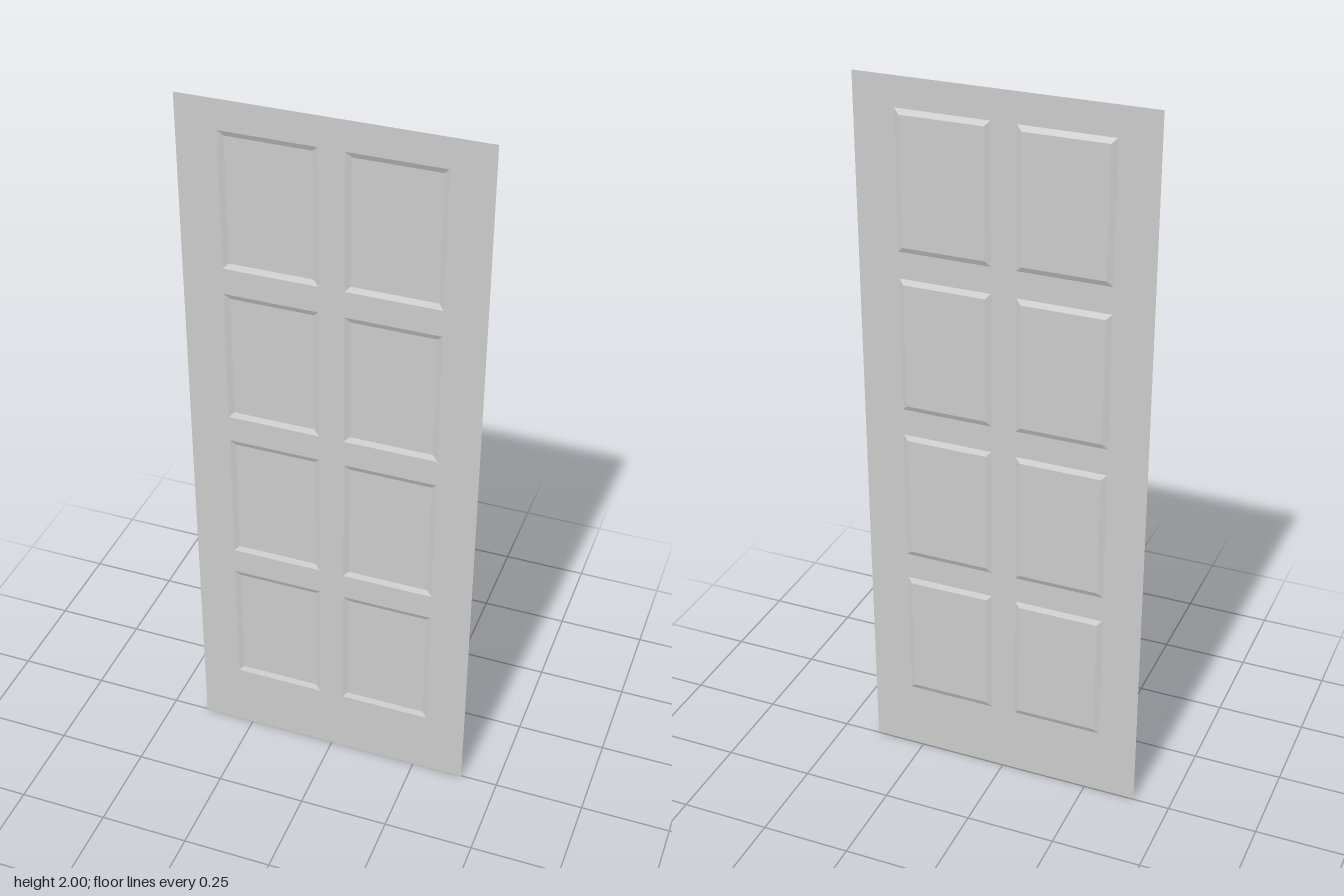
import * as THREE from 'three';

const WIDTH = 0.792, HEIGHT = 2;
const FRONT = 0.003, BACK = -0.003; // sheet plane and recessed panel plane
const PANEL_W = 0.2525, PANEL_H = 0.375, BEVEL = 0.0145;
const COLUMNS = [-0.161, 0.159];
const ROWS = [0.384, 0.834, 1.284, 1.732];

const material = new THREE.MeshStandardMaterial({ color: 0xcccccc, side: THREE.DoubleSide, flatShading: true });

// Counter-clockwise corners of a rectangle
function corners(w, h, x = 0, y = 0) {
  return [[-1, -1], [1, -1], [1, 1], [-1, 1]].map(([sx, sy]) => new THREE.Vector2(x + sx * w / 2, y + sy * h / 2));
}

function addMesh(parent, geometry, name) {
  const mesh = new THREE.Mesh(geometry, material);
  mesh.name = name;
  parent.add(mesh);
  return mesh;
}

// Four mitred slopes from the sheet in to the recessed panel
function bevelGeometry() {
  const outer = corners(PANEL_W, PANEL_H);
  const inner = corners(PANEL_W - 2 * BEVEL, PANEL_H - 2 * BEVEL);
  const points = [];
  for (let i = 0; i < 4; i++) {
    const j = (i + 1) % 4;
    const a = new THREE.Vector3(outer[i].x, outer[i].y, FRONT);
    const b = new THREE.Vector3(outer[j].x, outer[j].y, FRONT);
    const c = new THREE.Vector3(inner[j].x, inner[j].y, BACK);
    const d = new THREE.Vector3(inner[i].x, inner[i].y, BACK);
    points.push(a, b, c, a, c, d);
  }
  const geometry = new THREE.BufferGeometry().setFromPoints(points);
  geometry.computeVertexNormals();
  return geometry;
}

export function createModel() {
  const door = new THREE.Group();
  door.name = 'panelDoor';

  // Thin door sheet with eight openings
  const sheet = new THREE.Shape(corners(WIDTH, HEIGHT, 0, HEIGHT / 2));
  for (const x of COLUMNS) {
    for (const y of ROWS) sheet.holes.push(new THREE.Path(corners(PANEL_W, PANEL_H, x, y).reverse()));
  }
  addMesh(door, new THREE.ShapeGeometry(sheet), 'doorSheet').position.z = FRONT;

  // Recessed panels with sloped borders
  const bevel = bevelGeometry();
  const face = new THREE.PlaneGeometry(PANEL_W - 2 * BEVEL, PANEL_H - 2 * BEVEL);
  for (const x of COLUMNS) {
    for (const y of ROWS) {
      const panel = new THREE.Group();
      panel.name = 'recessedPanel';
      panel.position.set(x, y, 0);
      addMesh(panel, bevel, 'panelBevel');
      addMesh(panel, face, 'panelFace').position.z = BACK;
      door.add(panel);
    }
  }
  return door;
}
